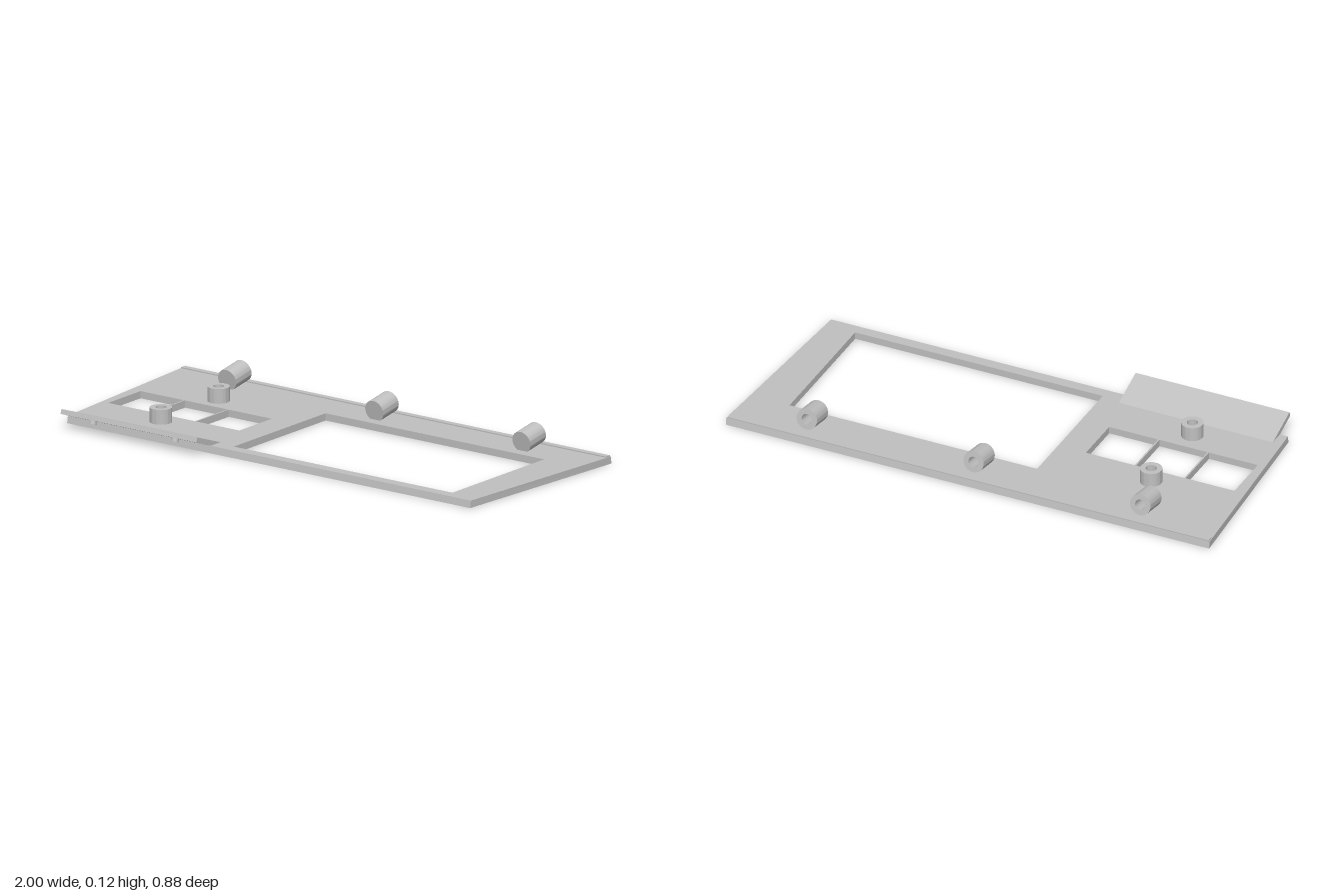
import * as THREE from 'three';
import { toCreasedNormals } from 'three/addons/utils/BufferGeometryUtils.js';

const THICK = 0.028;

export function createModel() {
  const model = new THREE.Group();
  const grey = new THREE.MeshStandardMaterial({ color: 0xc0c0c0 });
  grey.name = 'plain grey';

  const add = (name, geometry, x = 0, y = 0, z = 0, tilt = 0) => {
    const mesh = new THREE.Mesh(geometry, grey);
    mesh.name = name;
    mesh.position.set(x, y, z);
    mesh.rotation.x = tilt;
    model.add(mesh);
  };
  const polygon = (Type, points) => new Type(points.map(([a, b]) => new THREE.Vector2(a, b)));
  const windowHole = (x0, x1, z0, z1) =>
    polygon(THREE.Path, [[x0, -z0], [x1, -z0], [x1, -z1], [x0, -z1]]);

  // Tapered face plate with two window openings
  const outline = polygon(THREE.Shape, [[-0.945, -0.358], [0.945, -0.358], [1, 0.44], [-1, 0.44]]);
  outline.holes.push(windowHole(-0.2, 0.825, -0.255, 0.31), windowHole(-0.93, -0.315, -0.075, 0.125));
  const plate = new THREE.ExtrudeGeometry(outline, { depth: THICK, bevelEnabled: false });
  plate.rotateX(-Math.PI / 2);
  // Lean the front and back edges slightly inward at the top
  const pos = plate.attributes.position;
  for (let i = 0; i < pos.count; i++) {
    const z = pos.getZ(i);
    if (pos.getY(i) > THICK / 2 && (z > 0.35 || z < -0.4)) pos.setZ(i, z - Math.sign(z) * 0.005);
  }
  plate.computeVertexNormals();
  add('facePlate', plate);

  // Low lip along the back edge
  add('backLip', new THREE.BoxGeometry(1.992, 0.006, 0.024), 0, 0.0295, -0.423);

  // Thin dividers across the small window
  for (const x of [-0.725, -0.52]) {
    add('windowDivider', new THREE.BoxGeometry(0.006, THICK, 0.202), x, THICK / 2, 0.025);
  }

  // Round boss with a blind bore in its top end
  const boss = (radius, bore, height, floor) => toCreasedNormals(new THREE.LatheGeometry(
    [[0, 0], [radius, 0], [radius, height], [bore, height], [bore, floor], [0, floor]]
      .map(([r, y]) => new THREE.Vector2(r, y)), 40), 0.6);

  // Upright screw posts
  for (const z of [-0.148, 0.207]) {
    add('screwPost', boss(0.042, 0.021, 0.059, 0.005), -0.62, 0.026, z);
  }

  // Tilted bosses along the back, bored from behind
  const lift = THREE.MathUtils.degToRad(9.7);
  for (const x of [-0.69, 0, 0.69]) {
    add('tiltedBoss', boss(0.042, 0.021, 0.097, 0.025), x, 0.0625, -0.292, lift - Math.PI / 2);
  }

  // Sloping flap rising over the front edge
  const section = polygon(THREE.Shape, [[0.29, 0.027], [0.35, 0.027], [0.442, 0.061], [0.436, 0.079]]);
  const flap = new THREE.ExtrudeGeometry(section, { depth: 0.637, bevelEnabled: false });
  flap.rotateY(-Math.PI / 2);
  add('frontFlap', flap, -0.275);

  // Small pegs under the flap
  const slope = THREE.MathUtils.degToRad(19.7);
  for (const x of [-0.785, -0.4]) {
    add('flapPeg', new THREE.CylinderGeometry(0.0135, 0.0135, 0.018, 24), x, 0.044, 0.407, -slope);
  }

  return model;
}
